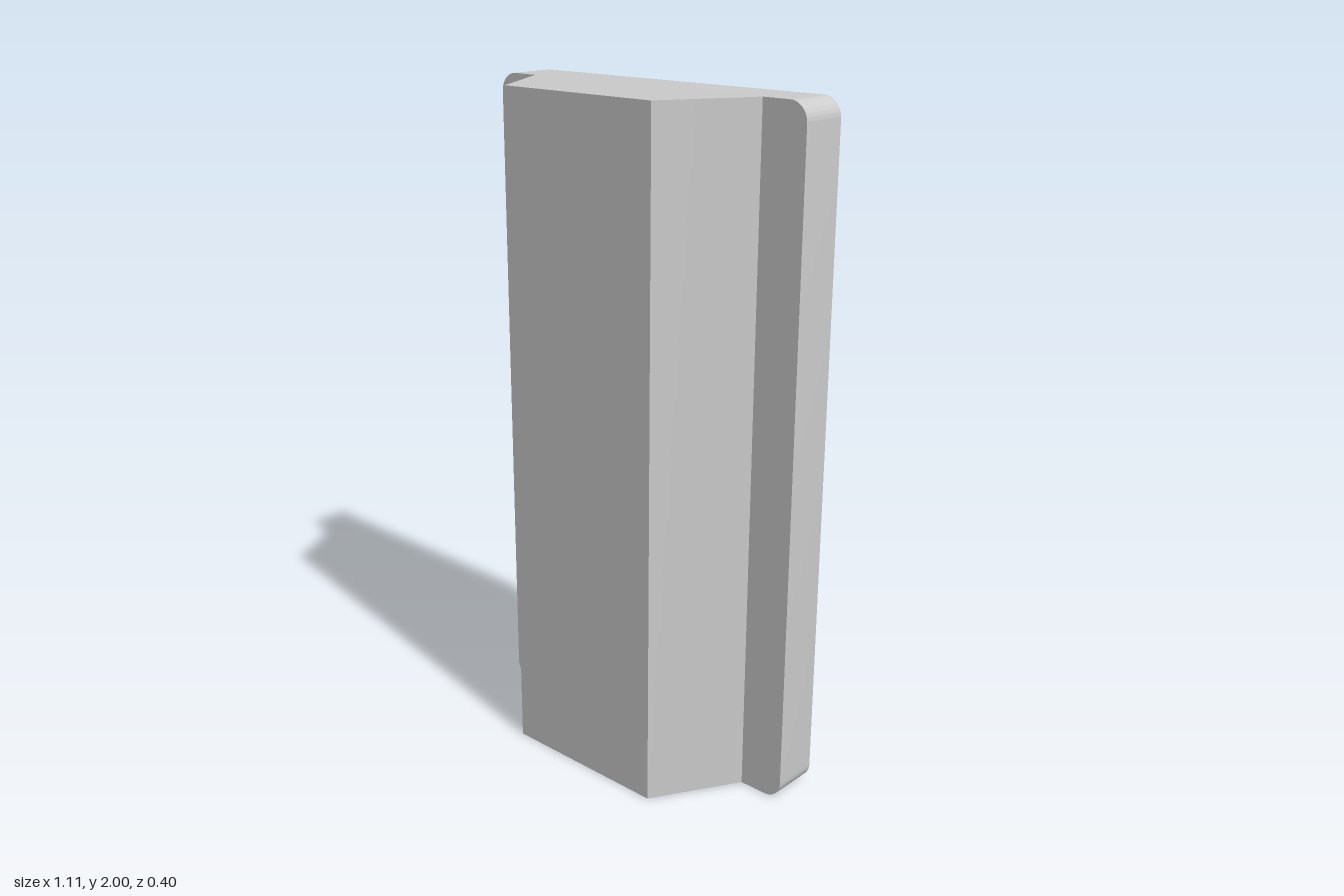
import * as THREE from 'three';
import { toCreasedNormals } from 'three/addons/utils/BufferGeometryUtils.js';

const HEIGHT = 2, HALF_PLATE = 0.553, CORNER = 0.055;
const Z_BACK = -0.2, Z_STEP = -0.055, Z_FLOOR = 0.1, Z_FRONT = 0.2;
const HALF_ROOT = 0.413, HALF_NOSE = 0.265;
const HOLE_RADIUS = 0.06, HOLE_HEIGHTS = [0.4, 1.6];

// Upright rectangle with optionally rounded corners, standing on y = 0
function panel(w, r) {
  const s = new THREE.Shape();
  if (r === 0) {
    return s.moveTo(-w, 0).lineTo(w, 0).lineTo(w, HEIGHT).lineTo(-w, HEIGHT).closePath();
  }
  s.absarc(w - r, r, r, -Math.PI / 2, 0);
  s.absarc(w - r, HEIGHT - r, r, 0, Math.PI / 2);
  s.absarc(-w + r, HEIGHT - r, r, Math.PI / 2, Math.PI);
  s.absarc(-w + r, r, r, Math.PI, Math.PI * 1.5);
  return s.closePath();
}

// Screw holes on the centre line
function drill(shape) {
  for (const y of HOLE_HEIGHTS) {
    shape.holes.push(new THREE.Path().absarc(0, y, HOLE_RADIUS, 0, Math.PI * 2, true));
  }
  return shape;
}

function slab(shape, z0, z1) {
  const geo = new THREE.ExtrudeGeometry(shape, { depth: z1 - z0, bevelEnabled: false, curveSegments: 16 });
  return geo.translate(0, 0, z0);
}

// Narrow the outer edges towards the front, leaving the holes straight
function taper(geo) {
  const p = geo.attributes.position;
  for (let i = 0; i < p.count; i++) {
    if (Math.abs(p.getX(i)) < 0.2) continue;
    const t = (p.getZ(i) - Z_STEP) / (Z_FRONT - Z_STEP);
    p.setX(i, Math.sign(p.getX(i)) * THREE.MathUtils.lerp(HALF_ROOT, HALF_NOSE, t));
  }
  return geo;
}

export function createModel() {
  const group = new THREE.Group();
  const material = new THREE.MeshStandardMaterial({ color: 0xcccccc });
  const add = (name, geo) => {
    const mesh = new THREE.Mesh(toCreasedNormals(geo, 0.5), material);
    mesh.name = name;
    group.add(mesh);
  };

  // Rounded back plate
  add('backPlate', slab(drill(panel(HALF_PLATE, CORNER)), Z_BACK, Z_STEP));
  // Tapered rail: drilled rear half, solid front half closing the blind holes
  add('railRear', taper(slab(drill(panel(HALF_ROOT, 0)), Z_STEP, Z_FLOOR)));
  add('railFront', taper(slab(panel(HALF_ROOT, 0), Z_FLOOR, Z_FRONT)));

  return group;
}
